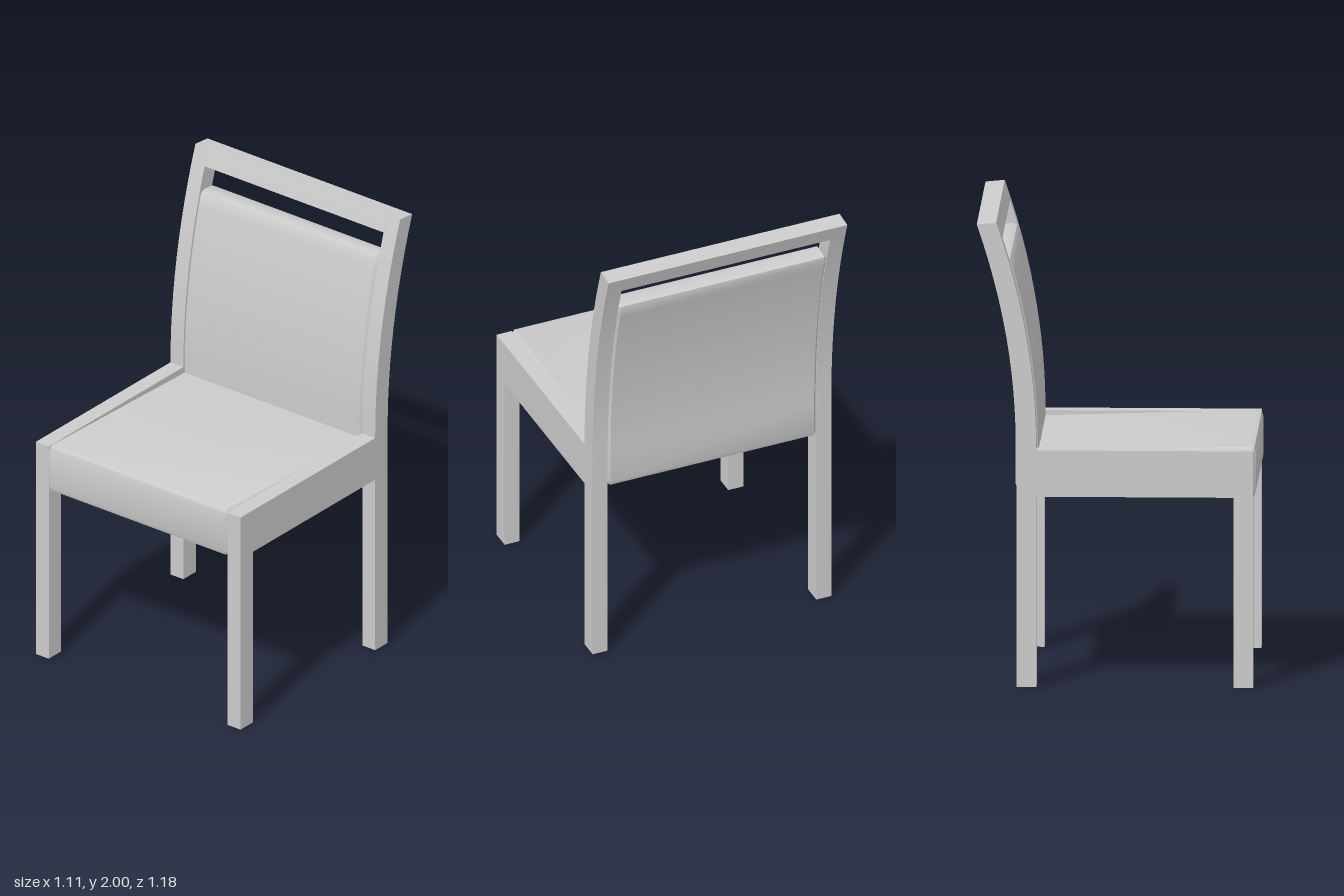
import * as THREE from 'three';
import { toCreasedNormals } from 'three/addons/utils/BufferGeometryUtils.js';

const material = new THREE.MeshStandardMaterial({ color: 0xcccccc });

// Backward lean of the backrest at height y
const lean = (y) => 0.171 * Math.max(0, (y - 1.02) / 0.98) ** 2;

// Points [z, y] up a leaning edge that starts at depth z
function leaningEdge(z, y0, y1, steps) {
  return Array.from({ length: steps + 1 }, (_, i) => {
    const y = y0 + ((y1 - y0) * i) / steps;
    return [z - lean(y), y];
  });
}

// Side profile from corners [z, y, radius]; a radius rounds that corner
function profile(corners) {
  const shape = new THREE.Shape();
  const n = corners.length;
  const toward = (a, b, r) => {
    const d = Math.hypot(b[0] - a[0], b[1] - a[1]);
    return [a[0] + ((b[0] - a[0]) * r) / d, a[1] + ((b[1] - a[1]) * r) / d];
  };
  corners.forEach((c, i) => {
    const r = c[2] || 0;
    const start = r ? toward(c, corners[(i + n - 1) % n], r) : c;
    if (i === 0) shape.moveTo(start[0], start[1]);
    else shape.lineTo(start[0], start[1]);
    if (r) shape.quadraticCurveTo(c[0], c[1], ...toward(c, corners[(i + 1) % n], r));
  });
  shape.closePath();
  return shape;
}

// Extrude a side profile across x, centred on x, with an optional bevel
function part(name, corners, width, x = 0, bevel = 0) {
  const depth = width - 2 * bevel;
  const geometry = new THREE.ExtrudeGeometry(profile(corners), {
    depth, curveSegments: 2, bevelEnabled: bevel > 0, bevelSegments: 1,
    bevelSize: bevel, bevelThickness: bevel, bevelOffset: -bevel,
  });
  geometry.translate(0, 0, -depth / 2).rotateY(-Math.PI / 2);
  const mesh = new THREE.Mesh(toCreasedNormals(geometry, 0.7), material);
  mesh.name = name;
  mesh.position.x = x;
  return mesh;
}

export function createModel() {
  const chair = new THREE.Group();
  chair.name = 'chair';

  // Side frames: front leg, seat rail, back leg and curved back post in one piece
  const frame = [
    [0.587, 0], [0.587, 1.02],
    ...leaningEdge(-0.335, 1.02, 2, 12),
    ...leaningEdge(-0.42, 1.02, 1.992, 12).reverse(),
    [-0.42, 0], [-0.335, 0], [-0.335, 0.82], [0.503, 0.82], [0.503, 0],
  ];
  for (const side of [-1, 1]) {
    chair.add(part(side > 0 ? 'leftFrame' : 'rightFrame', frame, 0.07, side * 0.52));
  }

  // Top rail joining the posts
  chair.add(part('topRail', [
    ...leaningEdge(-0.335, 1.925, 2, 2),
    ...leaningEdge(-0.42, 1.92, 1.992, 2).reverse(),
  ], 0.97));

  // Upholstery: seat tilting down to the rear, running into the curved back
  const front = leaningEdge(-0.33, 1.0, 1.83, 12);
  const back = leaningEdge(-0.425, 1.0, 1.82, 12).reverse();
  front[front.length - 1].push(0.025);
  back[0].push(0.025);
  chair.add(part('cushion', [
    [0.596, 0.81, 0.025], [0.596, 1.029, 0.025],
    ...front, ...back,
    [-0.425, 0.835, 0.025],
  ], 0.97, 0, 0.012));

  return chair;
}
